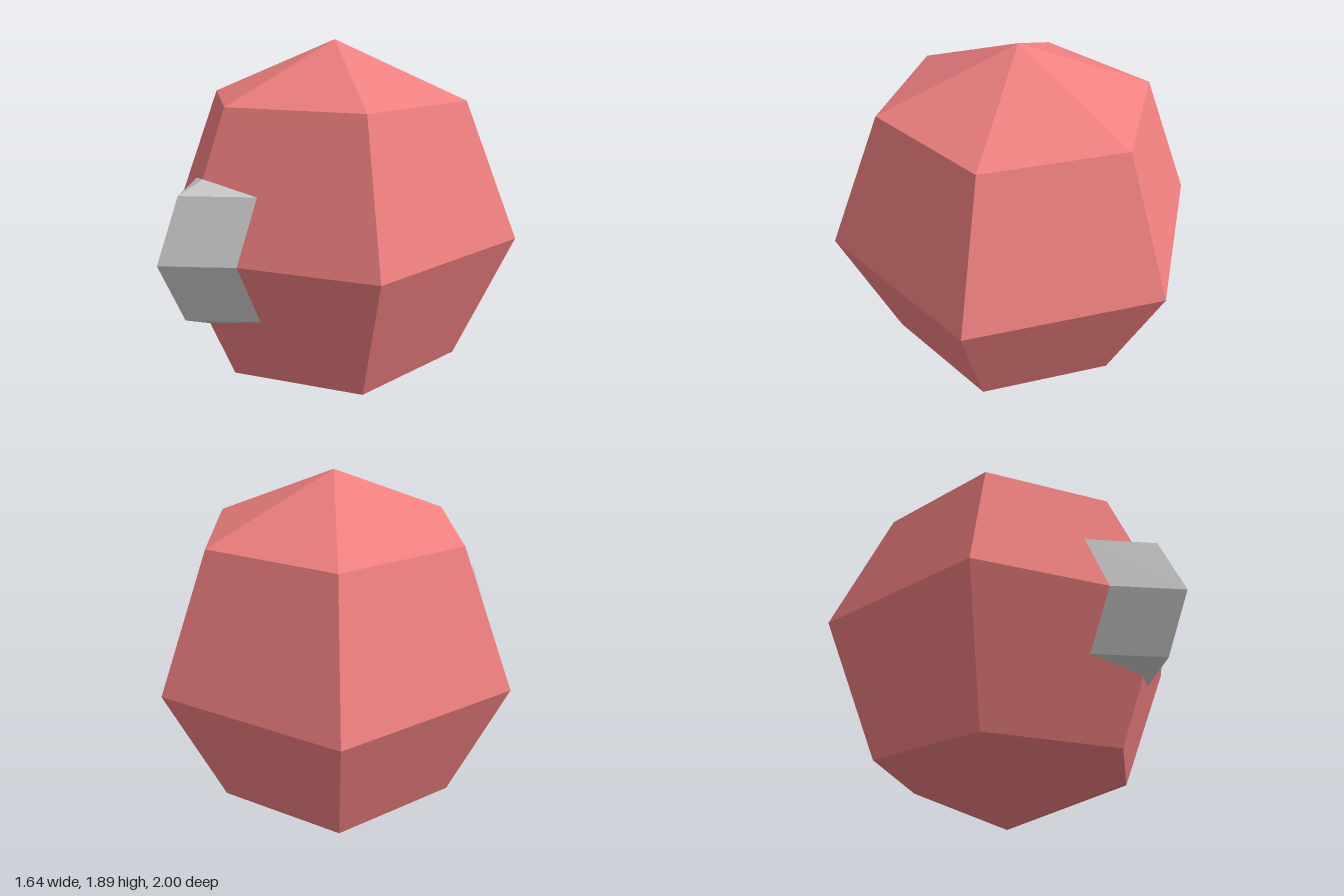
import * as THREE from 'three';

const RADIUS = 0.945;
const CENTRE_Z = -0.055;

// Faceted snout: a folded plate standing proud of the body's front edge
function snoutGeometry() {
  const mid = 0.945, half = 0.3;
  const pos = [];
  const tri = (...pts) => pts.forEach((p) => pos.push(...p));
  const quad = (a, b, c, d) => { tri(a, b, c); tri(a, c, d); };

  for (const v of [1, -1]) {       // upper and lower half
    const ridge = [0, mid, 1.0];
    const tip = [0, mid + v * half, 0.875];
    const root = [0, mid + v * 0.355, 0.743];
    for (const s of [1, -1]) {     // left and right half
      const side = [s * 0.25, mid, 0.746];
      const corner = [s * 0.25, mid + v * half, 0.625];
      if (s * v > 0) {
        quad(ridge, side, corner, tip);
        tri(tip, corner, root);
      } else {
        quad(ridge, tip, corner, side);
        tri(tip, root, corner);
      }
    }
  }
  const geometry = new THREE.BufferGeometry();
  geometry.setAttribute('position', new THREE.Float32BufferAttribute(pos, 3));
  geometry.computeVertexNormals();
  return geometry;
}

export function createModel() {
  const model = new THREE.Group();
  model.name = 'model';

  // Six-sided ball with an edge facing forward
  const body = new THREE.Mesh(
    new THREE.SphereGeometry(RADIUS, 6, 4).rotateY(Math.PI / 2),
    new THREE.MeshStandardMaterial({ color: 0xf08080, flatShading: true })
  );
  body.name = 'body';
  body.position.set(0, RADIUS, CENTRE_Z);

  const snout = new THREE.Mesh(
    snoutGeometry(),
    new THREE.MeshStandardMaterial({ color: 0xcccccc, flatShading: true, side: THREE.DoubleSide })
  );
  snout.name = 'snout';

  model.add(body, snout);
  return model;
}
